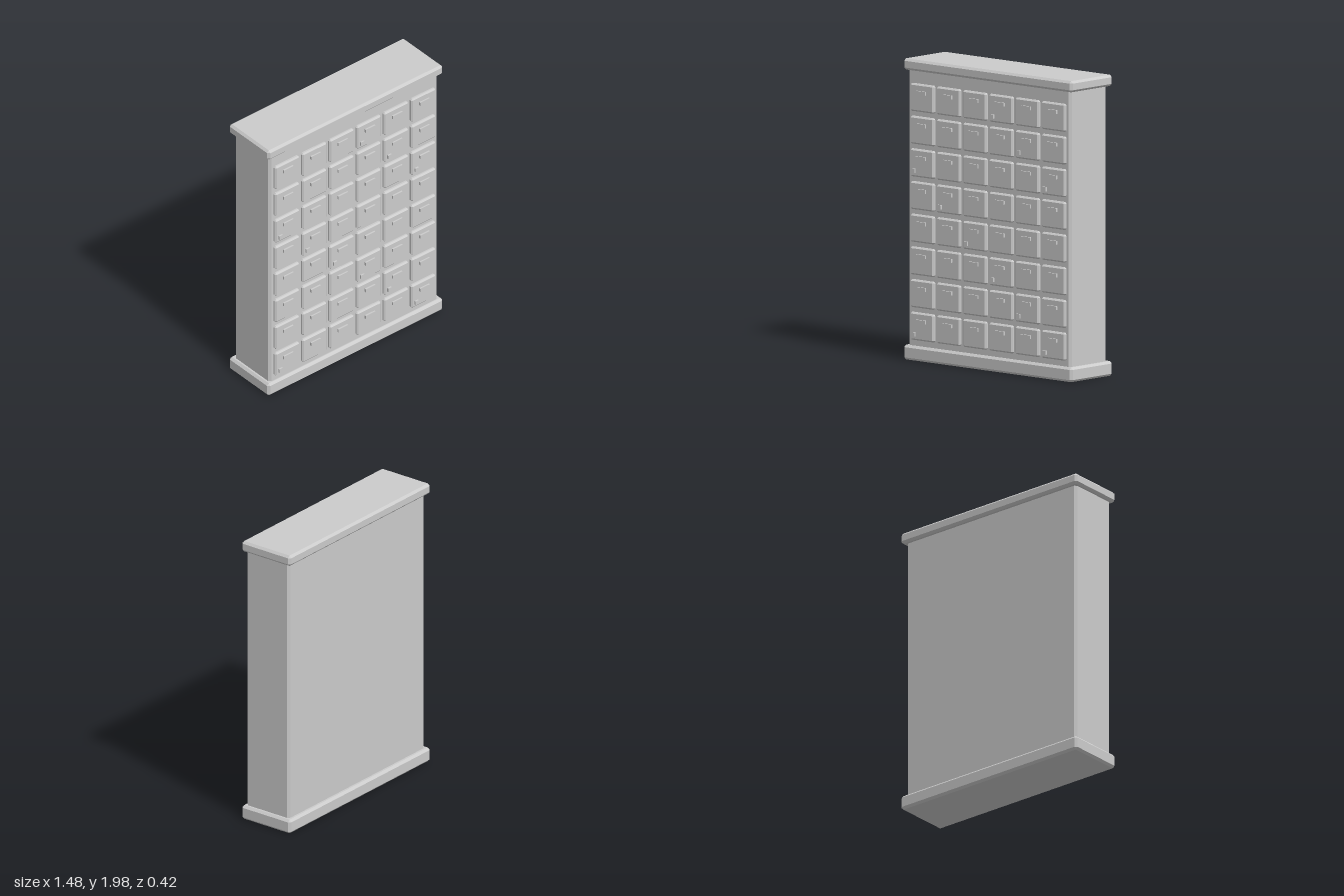
import * as THREE from 'three';
import { ConvexGeometry } from 'three/addons/geometries/ConvexGeometry.js';

// Box with every edge chamfered by b.
function chamferBox(w, h, d, b) {
  const points = [];
  for (const sx of [-1, 1]) for (const sy of [-1, 1]) for (const sz of [-1, 1]) {
    for (let axis = 0; axis < 3; axis++) {
      const inset = [b, b, b];
      inset[axis] = 0;
      points.push(new THREE.Vector3(
        sx * (w / 2 - inset[0]), sy * (h / 2 - inset[1]), sz * (d / 2 - inset[2])));
    }
  }
  return new ConvexGeometry(points);
}

export function createModel() {
  const model = new THREE.Group();
  model.name = 'drawerCabinet';
  const material = new THREE.MeshStandardMaterial({ color: 0xcccccc, flatShading: true });

  function add(parent, name, geometry, x, y, z) {
    const mesh = new THREE.Mesh(geometry, material);
    mesh.name = name;
    mesh.position.set(x, y, z);
    parent.add(mesh);
    return mesh;
  }

  // Carcass with overhanging base and top
  add(model, 'body', chamferBox(1.43, 1.9, 0.354, 0.016), 0, 1.01, -0.002);
  add(model, 'base', chamferBox(1.484, 0.097, 0.405, 0.015), 0, 0.0665, -0.006);
  add(model, 'top', chamferBox(1.484, 0.074, 0.405, 0.015), 0, 1.963, -0.006);

  // Grid of drawers, each with a pull; every fifth diagonal has a small latch
  const drawerGeometry = chamferBox(0.207, 0.183, 0.04, 0.01);
  const pullGeometry = new THREE.BoxGeometry(0.082, 0.024, 0.02);
  const latchGeometry = new THREE.BoxGeometry(0.03, 0.028, 0.02);
  const columns = 6, rows = 8;
  for (let row = 0; row < rows; row++) {
    for (let column = 0; column < columns; column++) {
      const drawer = new THREE.Group();
      drawer.name = 'drawer';
      drawer.position.set((column - 2.5) * 0.231, 0.246 + row * 0.2152, 0.176);
      add(drawer, 'drawerFront', drawerGeometry, 0, 0, 0);
      add(drawer, 'pull', pullGeometry, 0, 0.035, 0.0215);
      if ((row + column) % 5 === 0) add(drawer, 'latch', latchGeometry, -0.066, -0.052, 0.0215);
      model.add(drawer);
    }
  }
  return model;
}
